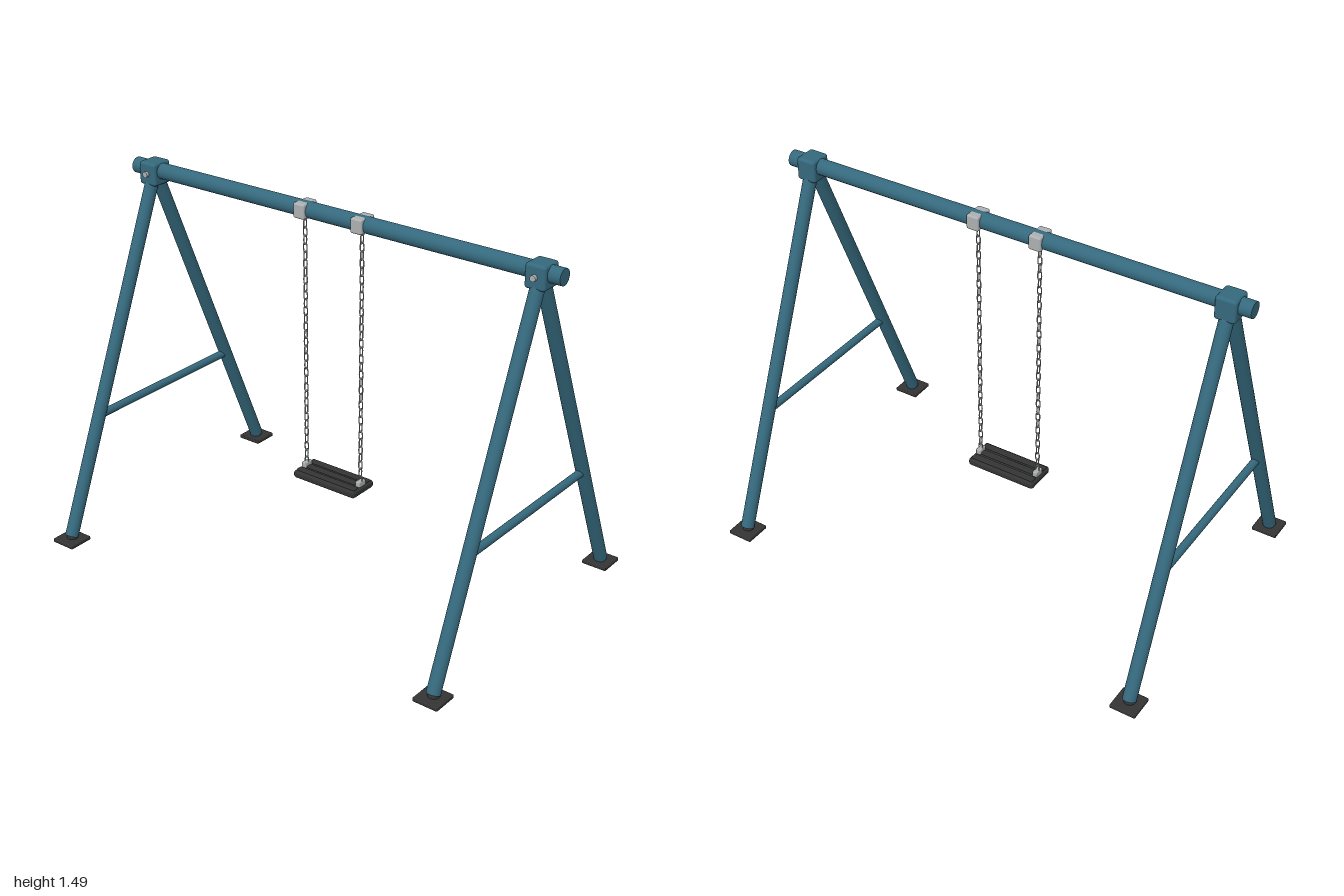
import * as THREE from 'three';
import { RoundedBoxGeometry } from 'three/addons/geometries/RoundedBoxGeometry.js';

const mat = (color) => new THREE.MeshStandardMaterial({ color });
const teal = mat(0x35697d);
const dark = mat(0x343434);
const steel = mat(0xadb0b2);

const BEAM_Y = 1.453;
const FRAME_X = 0.907;
const CHAIN_X = 0.135;

function add(parent, name, geometry, material, x = 0, y = 0, z = 0) {
  const mesh = new THREE.Mesh(geometry, material);
  mesh.name = name;
  mesh.position.set(x, y, z);
  parent.add(mesh);
  return mesh;
}

const box = (w, h, d, r) => new RoundedBoxGeometry(w, h, d, 3, r);

// Round bar between two points
function bar(parent, name, a, b, radius, material) {
  const dir = b.clone().sub(a);
  const mesh = add(parent, name, new THREE.CylinderGeometry(radius, radius, dir.length(), 32), material);
  mesh.position.copy(a).add(b).multiplyScalar(0.5);
  mesh.quaternion.setFromUnitVectors(new THREE.Vector3(0, 1, 0), dir.normalize());
  return mesh;
}

// A-shaped end frame with joint block, cross brace and feet
function endFrame(x) {
  const frame = new THREE.Group();
  frame.name = 'endFrame';
  frame.position.x = x;
  for (const s of [1, -1]) {
    bar(frame, 'leg', new THREE.Vector3(0, 0.025, 0.593 * s), new THREE.Vector3(0, 1.44, 0.004 * s), 0.0275, teal);
    add(frame, 'footPlate', box(0.108, 0.016, 0.108, 0.004), dark, 0, 0.008, 0.594 * s);
    add(frame, 'footCollar', new THREE.CylinderGeometry(0.021, 0.024, 0.022, 24), dark, 0, 0.022, 0.59 * s);
  }
  bar(frame, 'crossBrace', new THREE.Vector3(0, 0.502, -0.39), new THREE.Vector3(0, 0.502, 0.39), 0.0165, teal);
  add(frame, 'jointBlock', box(0.085, 0.095, 0.094, 0.012), teal, 0, 1.4425, 0);
  const bolt = add(frame, 'jointBolt', new THREE.CylinderGeometry(0.012, 0.012, 0.016, 16), steel, 0, 1.443, 0.052);
  bolt.rotation.x = Math.PI / 2;
  return frame;
}

// Chain of stretched rings, every other one turned a quarter
function chain(x) {
  const group = new THREE.Group();
  group.name = 'chain';
  group.position.x = x;
  const link = new THREE.TorusGeometry(0.0085, 0.0025, 6, 18);
  const p = link.attributes.position;
  for (let i = 0; i < p.count; i++) {
    p.setY(i, p.getY(i) + 0.0103 * THREE.MathUtils.clamp(p.getY(i) / 0.004, -1, 1));
  }
  link.computeVertexNormals();
  for (let i = 0; i < 33; i++) {
    const mesh = add(group, 'chainLink', link, steel, 0, 0.378 + i * 0.03275, 0);
    if (i % 2) mesh.rotation.y = Math.PI / 2;
  }
  return group;
}

// Swing: beam clamps, chains, seat lugs and ribbed seat
function swing() {
  const group = new THREE.Group();
  group.name = 'swing';
  for (const s of [1, -1]) {
    const x = CHAIN_X * s;
    add(group, 'beamClamp', box(0.053, 0.061, 0.085, 0.008), steel, x, BEAM_Y, 0);
    group.add(chain(x));
    add(group, 'seatLug', box(0.022, 0.03, 0.042, 0.004), steel, x, 0.36, 0);
  }
  add(group, 'seat', box(0.306, 0.032, 0.136, 0.012), dark, 0, 0.338, 0);
  for (const z of [-0.041, 0, 0.041]) {
    add(group, 'seatRib', box(0.29, 0.012, 0.03, 0.004), dark, 0, 0.353, z);
  }
  return group;
}

export function createModel() {
  const model = new THREE.Group();
  model.name = 'swingSet';
  bar(model, 'topBeam', new THREE.Vector3(-1, BEAM_Y, 0), new THREE.Vector3(1, BEAM_Y, 0), 0.0325, teal);
  model.add(endFrame(FRAME_X), endFrame(-FRAME_X), swing());
  return model;
}
